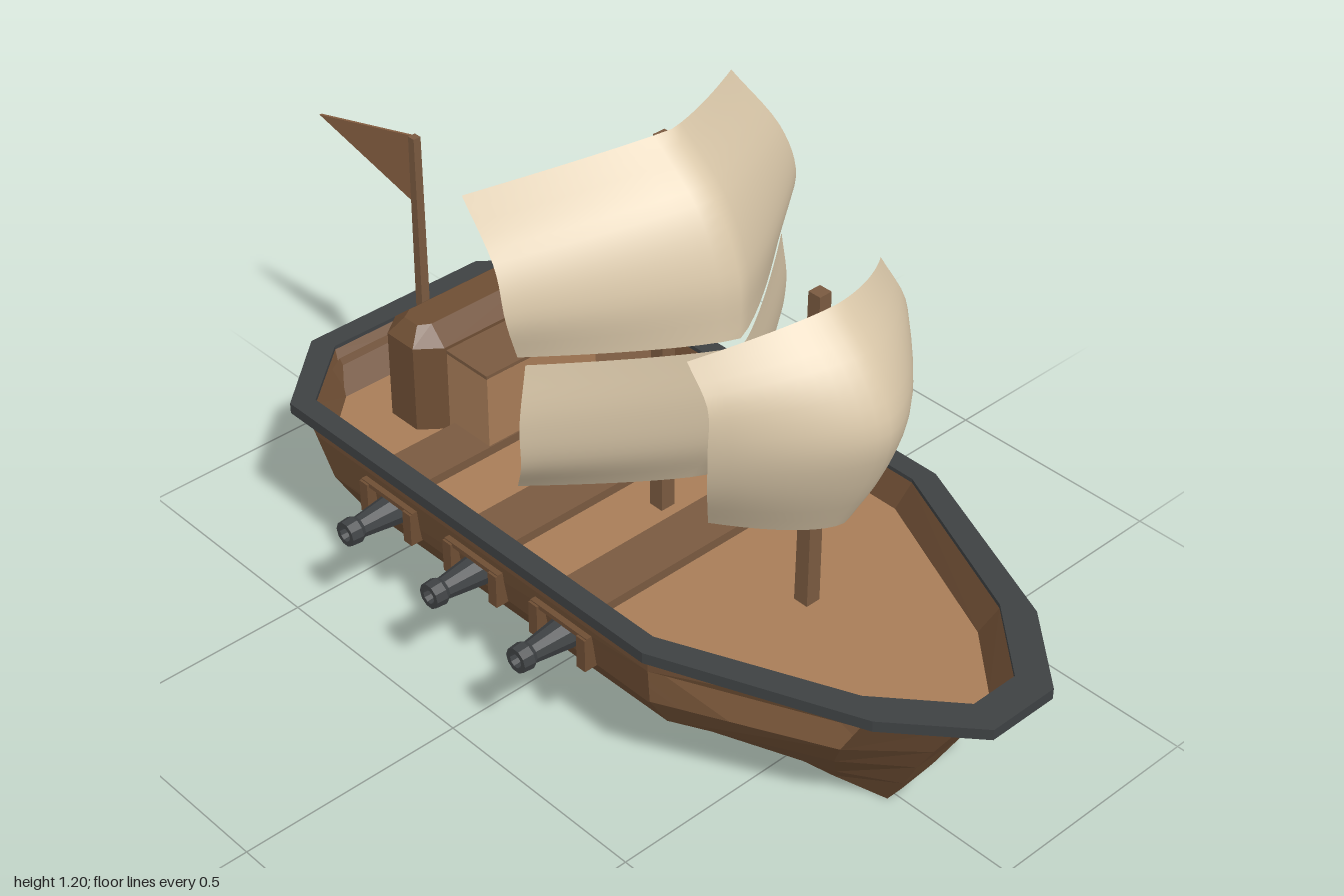
import * as THREE from 'three';

const mat = (color, extra = {}) => new THREE.MeshStandardMaterial({ color, flatShading: true, side: THREE.DoubleSide, ...extra });
const HULL = mat(0x6e4e34), DECK = mat(0xa87d58), BEAM = mat(0x7a5a40), IRON = mat(0x3e4143);
const SAIL = mat(0xd8c6a8, { flatShading: false });

function add(parent, name, geo, material, x = 0, y = 0, z = 0) {
  const m = new THREE.Mesh(geo, material);
  m.name = name;
  m.position.set(x, y, z);
  parent.add(m);
  return m;
}

function buffer(pos, idx) {
  const g = new THREE.BufferGeometry();
  g.setAttribute('position', new THREE.Float32BufferAttribute(pos, 3));
  g.setIndex(idx);
  g.computeVertexNormals();
  return g;
}

// Half outline (bow to stern, +x side) mirrored into a closed ring
const mirrorRing = half => [...half, ...half.map(([x, z]) => [-x, z]).reverse()];

// Loft through horizontal rings [y, halfOutline]; skip(level, side) leaves an opening
function loft(rings, { bottom = false, top = false, skip = () => false } = {}) {
  const pos = [], idx = [], n = rings[0][1].length * 2;
  rings.forEach(([y, half]) => mirrorRing(half).forEach(([x, z]) => pos.push(x, y, z)));
  for (let i = 0; i < rings.length - 1; i++) for (let j = 0; j < n; j++) {
    if (skip(i, j)) continue;
    const k = (j + 1) % n, a = i * n + j, b = i * n + k;
    idx.push(a, b, b + n, a, b + n, a + n);
  }
  const t = (rings.length - 1) * n;
  for (let j = 1; j < n - 1; j++) {
    if (bottom) idx.push(0, j + 1, j);
    if (top) idx.push(t, t + j, t + j + 1);
  }
  return buffer(pos, idx);
}

// Billowed sail; rows run bottom to top: [yCentre, yEdge, halfWidth, zCentre, zEdge]
function sail(rows, power) {
  const U = 20, V = 16, pos = [], idx = [];
  const spline = (a, b) => new THREE.CatmullRomCurve3(rows.map(r => new THREE.Vector3(r[a], r[b], r[2])));
  const mid = spline(0, 3), edge = spline(1, 4);
  for (let v = 0; v <= V; v++) {
    const c = mid.getPoint(v / V), e = edge.getPoint(v / V);
    for (let u = 0; u <= U; u++) {
      const s = u / U * 2 - 1, t = Math.abs(s) ** power;
      pos.push(s * e.z, c.x + (e.x - c.x) * t, c.y + (e.y - c.y) * t);
      if (u < U && v < V) {
        const a = v * (U + 1) + u, b = a + U + 1;
        idx.push(a, a + 1, b + 1, a, b + 1, b);
      }
    }
  }
  return buffer(pos, idx);
}

export function createModel() {
  const ship = new THREE.Group();
  ship.name = 'sailingShip';
  const ports = [0.185, -0.07, -0.33];

  // Hull shell, keel to rail, open where the gun panels go
  const rings = [
    [0, [[.02, .715], [.05, .6], [.09, .4], [.09, -.36], [.05, -.405]]],
    [.09, [[.04, .77], [.11, .66], [.205, .42], [.21, -.42], [.11, -.49]]],
    [.175, [[.06, .815], [.16, .70], [.31, .41], [.32, -.5], [.18, -.675]]],
    [.25, [[.07, .86], [.19, .74], [.355, .41], [.36, -.53], [.19, -.675]]],
    [.34, [[.065, .915], [.195, .79], [.37, .42], [.37, -.57], [.2, -.675]]],
    [.385, [[.065, .95], [.2, .81], [.37, .42], [.37, -.6], [.205, -.7]]],
  ];
  add(ship, 'hull', loft(rings, { bottom: true, skip: (i, j) => i === 3 && (j === 2 || j === 7) }), HULL);

  // Rail around the top edge
  const railOut = [[.08, 1], [.22, .84], [.393, .43], [.393, -.62], [.225, -.768]];
  const railIn = [[.055, .93], [.185, .78], [.347, .41], [.347, -.595], [.2, -.72]];
  add(ship, 'rail', loft([[.38, railIn], [.38, railOut], [.404, railOut], [.404, railIn], [.38, railIn]]), IRON);

  // Bulwark and deck
  const deckEdge = [[.05, .88], [.165, .75], [.325, .39], [.325, -.565], [.235, -.645]];
  add(ship, 'bulwark', loft([[.33, deckEdge], [.395, railIn]]), HULL);
  add(ship, 'deck', loft([[.329, deckEdge], [.33, deckEdge]], { top: true }), DECK);
  for (const z of [.18, -.08, -.343])
    add(ship, 'deckBeam', new THREE.BoxGeometry(.65, .025, .113), BEAM, 0, .338, z);

  // Gun side, built for one side and mirrored
  const barrelProfile = [[0, 0], [.034, 0], [.034, .03], [.023, .115], [.029, .125], [.027, .15], [.016, .15], [.014, .12], [0, .12]]
    .map(p => new THREE.Vector2(...p));
  for (const side of [1, -1]) {
    const guns = new THREE.Group();
    guns.name = side > 0 ? 'leftGuns' : 'rightGuns';
    guns.scale.x = side;
    ship.add(guns);

    // Side panel with square openings, drawn in (-z, y) and leaned to fit the hull
    const panel = new THREE.Shape([[-.41, .25], [.53, .25], [.57, .34], [-.42, .34]].map(p => new THREE.Vector2(...p)));
    for (const z of ports)
      panel.holes.push(new THREE.Path([[-.06, .253], [-.06, .318], [.06, .318], [.06, .253]]
        .map(([a, y]) => new THREE.Vector2(a - z, y))));
    const geo = new THREE.ShapeGeometry(panel), p = geo.attributes.position;
    for (let i = 0; i < p.count; i++) {
      const a = p.getX(i), y = p.getY(i);
      p.setXYZ(i, .357 + (y - .25) / .09 * .013, y, -a);
    }
    geo.computeVertexNormals();
    add(guns, 'gunPanel', geo, HULL);

    for (const z of ports) {
      // Port frame and barrel
      for (const s of [1, -1])
        add(guns, 'portCheek', new THREE.BoxGeometry(.04, .075, .024), HULL, .366, .285, z + s * .068);
      add(guns, 'portLintel', new THREE.BoxGeometry(.03, .01, .16), HULL, .366, .32, z);
      const barrel = add(guns, 'cannon', new THREE.LatheGeometry(barrelProfile, 10), IRON, .338, .285, z);
      barrel.rotation.z = -Math.PI / 2;
    }
  }

  // Cabin: low front house and an eight-sided block with a bevelled roof
  add(ship, 'cabinFront', new THREE.BoxGeometry(.29, .185, .15), DECK, 0, .423, -.365);
  add(ship, 'cabinFrontRoof', new THREE.BoxGeometry(.292, .008, .15), BEAM, 0, .519, -.365);
  const block = [[.15, -.415], [.2, -.455], [.2, -.535], [.15, -.572]];
  const roof = [[.145, -.46], [.17, -.475], [.17, -.515], [.145, -.53]];
  add(ship, 'cabinBlock', loft([[.33, block], [.53, block], [.565, roof]], { top: true }), HULL);

  // Masts and flag pole: square tapered posts
  const post = (name, r, y0, y1, z) => {
    const g = new THREE.CylinderGeometry(r * .85, r, y1 - y0, 4).rotateY(Math.PI / 4);
    add(ship, name, g, BEAM, 0, (y0 + y1) / 2, z);
  };
  post('mainMast', .024, .33, 1.175, .065);
  post('foreMast', .024, .33, 1.03, .465);
  post('flagPole', .015, .33, .85, -.672);

  // Pennant
  const pennant = new THREE.Shape([[.68, .69], [.99, .767], [.68, .85]].map(p => new THREE.Vector2(...p)));
  const pg = new THREE.ExtrudeGeometry(pennant, { depth: .006, bevelEnabled: false });
  add(ship, 'pennant', pg.translate(0, 0, -.003).rotateY(Math.PI / 2), mat(0x8a6244));

  // Sails
  add(ship, 'mainLowerSail', sail([
    [.472, .472, .29, .19, -.03], [.58, .58, .335, .25, .035],
    [.69, .69, .348, .272, .05], [.815, .815, .33, .275, .05]], 1.15), SAIL);
  add(ship, 'mainUpperSail', sail([
    [.832, .832, .34, .272, .04], [.96, .93, .37, .265, .045],
    [1.09, 1.02, .362, .205, .01], [1.195, 1.11, .337, .085, -.105]], 1.2), SAIL);
  add(ship, 'foreSail', sail([
    [.562, .562, .182, .55, .38], [.7, .69, .235, .62, .43],
    [.82, .8, .255, .65, .45], [.93, .89, .252, .6, .445], [1.022, .955, .245, .505, .385]], 1.6), SAIL);

  return ship;
}
